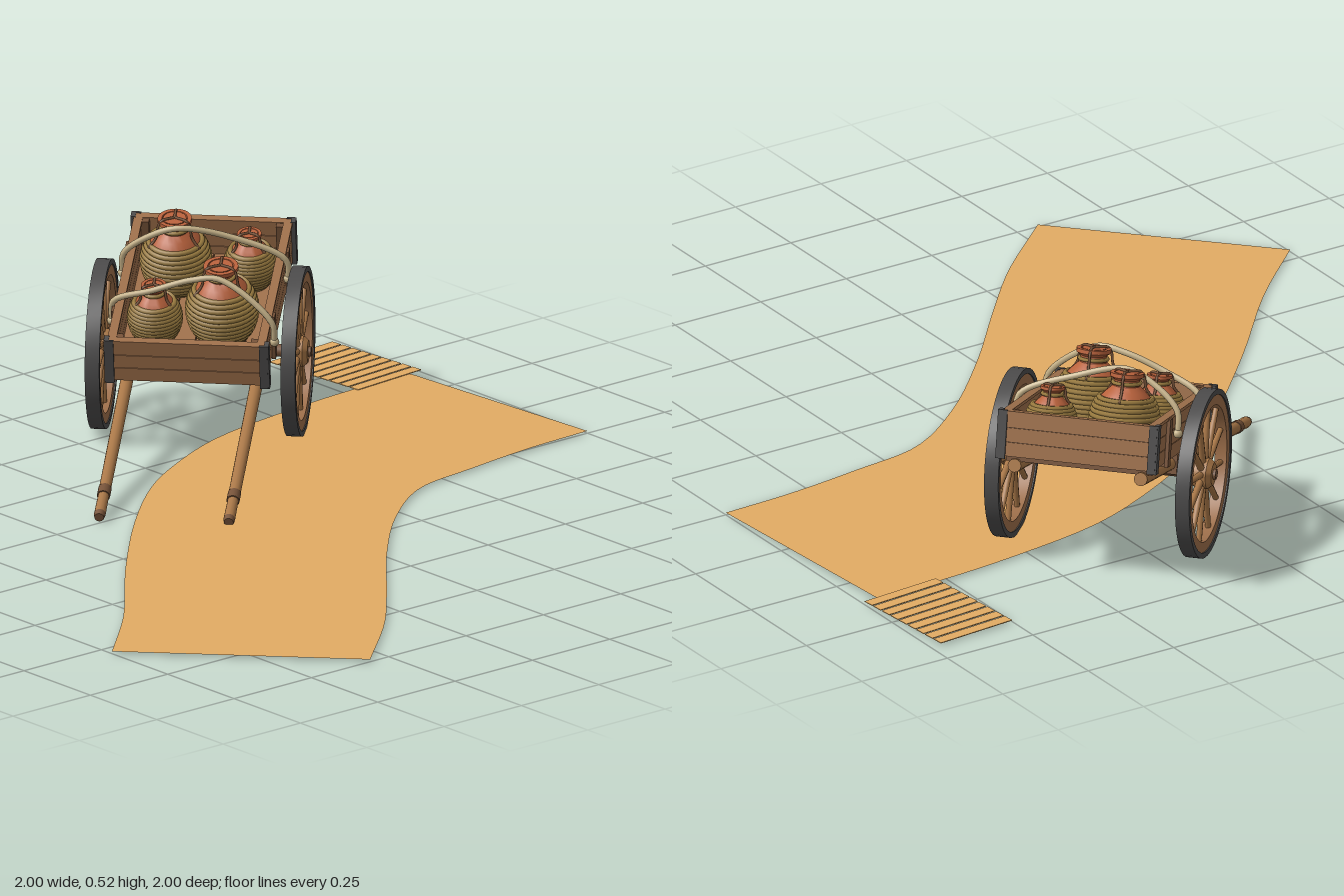
import * as THREE from 'three';
import { toCreasedNormals } from 'three/addons/utils/BufferGeometryUtils.js';

const mat = (name, color, side = THREE.FrontSide) => {
  const m = new THREE.MeshStandardMaterial({ color, side });
  m.name = name;
  return m;
};

export function createModel() {
  const wood = mat('wood', 0x9f704b);
  const darkWood = mat('dark wood', 0x775339);
  const poleWood = mat('pole wood', 0xaa7848);
  const iron = mat('iron', 0x4d4c4c);
  const seam = mat('seam', 0x3d2e22);
  const clay = mat('terracotta', 0xb9623c);
  const wicker = mat('wicker', 0x9b7c40);
  const rope = mat('rope', 0xc8b48a);
  const sand = mat('sand', 0xe3ac64, THREE.DoubleSide);

  const root = new THREE.Group();
  const V = (x, y, z) => new THREE.Vector3(x, y, z);
  const add = (parent, name, geo, m, x = 0, y = 0, z = 0) => {
    const mesh = new THREE.Mesh(geo, m);
    mesh.name = name;
    mesh.position.set(x, y, z);
    parent.add(mesh);
    return mesh;
  };
  const group = (parent, name) => {
    const g = new THREE.Group();
    g.name = name;
    parent.add(g);
    return g;
  };
  const box = (parent, name, m, w, h, d, x, y, z) =>
    add(parent, name, new THREE.BoxGeometry(w, h, d), m, x, y, z);
  const lathe = (pts, n = 24) =>
    toCreasedNormals(new THREE.LatheGeometry(pts.map(p => new THREE.Vector2(...p)), n), 0.6);
  const hoop = (rIn, rOut, w, n = 48) => lathe(
    [[rIn, -w / 2], [rOut, -w / 2], [rOut, w / 2], [rIn, w / 2], [rIn, -w / 2]], n);
  const bar = (parent, name, m, a, b, r1, r2 = r1, n = 12) => {
    const mesh = add(parent, name, new THREE.CylinderGeometry(r2, r1, a.distanceTo(b), n), m);
    mesh.position.copy(a).add(b).multiplyScalar(0.5);
    mesh.quaternion.setFromUnitVectors(V(0, 1, 0), b.clone().sub(a).normalize());
  };
  const tube = (parent, name, m, pts, r) => add(parent, name,
    new THREE.TubeGeometry(new THREE.CatmullRomCurve3(pts.map(p => V(...p))), 40, r, 7), m);

  // Flat winding road, outlined by two smooth edges
  const edge = pts => new THREE.CatmullRomCurve3(pts.map(([x, z]) => V(x, 0, z))).getPoints(36);
  const left = edge([[-0.62, -0.96], [-0.62, -0.78], [-0.6, -0.55], [-0.55, -0.27], [-0.46, -0.06],
    [-0.37, 0.09], [-0.19, 0.3], [0.085, 0.567], [0.35, 0.8], [0.54, 1]]);
  const right = edge([[0, -1], [0.01, -0.8], [0.037, -0.59], [0.07, -0.4], [0.2, -0.21],
    [0.41, 0], [0.62, 0.18], [0.81, 0.35], [1, 0.56]]);
  const outline = new THREE.Shape([...left, ...right.reverse()].map(p => new THREE.Vector2(p.x, -p.z)));
  add(root, 'road', new THREE.ShapeGeometry(outline).rotateX(-Math.PI / 2), sand, 0, 0.003, 0);

  // Slatted mat at the head of the road
  const slats = group(root, 'slattedMat');
  slats.position.set(-0.768, 0.004, -0.876);
  slats.rotation.y = 0.08;
  for (let i = 0; i < 9; i++)
    box(slats, 'slat', sand, 0.0295, 0.002, 0.22, (i - 4) * 0.0347, 0, 0);

  // Cart: wheels stay level, the body tips forward about the axle
  const cart = group(root, 'cart');
  cart.position.set(-0.64, 0.21, -0.297);
  cart.rotation.y = THREE.MathUtils.degToRad(42.5);
  const body = group(cart, 'cartBody');
  body.rotation.x = THREE.MathUtils.degToRad(14);

  // Wheels, built around the y axis and then turned onto the axle
  const axleLine = s => V(s * 0.24, 0, 0);
  bar(cart, 'axle', darkWood, axleLine(-1), axleLine(1), 0.016);
  for (const s of [-1, 1]) {
    const wheel = group(cart, s > 0 ? 'leftWheel' : 'rightWheel');
    wheel.position.x = s * 0.242;
    wheel.rotation.z = -s * Math.PI / 2;
    add(wheel, 'tyre', hoop(0.196, 0.21, 0.036), iron);
    add(wheel, 'rim', hoop(0.17, 0.197, 0.03), wood);
    for (let i = 0; i < 12; i++) {
      const a = (i + 0.5) * Math.PI / 6, c = Math.cos(a), d = Math.sin(a);
      bar(wheel, 'spoke', poleWood, V(c * 0.025, 0, d * 0.025), V(c * 0.175, 0, d * 0.175), 0.0095, 0.007, 8);
    }
    add(wheel, 'hub', lathe([[0, -0.03], [0.03, -0.03], [0.038, -0.014], [0.038, 0.014],
      [0.028, 0.026], [0, 0.026]]), poleWood);
    add(wheel, 'axleEnd', new THREE.CylinderGeometry(0.013, 0.013, 0.01, 12), darkWood, 0, 0.028, 0);
  }

  // Floor boards, joists and axle block
  const Z0 = -0.335, Z1 = 0.252, ZM = (Z0 + Z1) / 2, L = Z1 - Z0;
  for (let i = 0; i < 6; i++)
    box(body, 'floorBoard', wood, 0.059, 0.014, L - 0.02, (i - 2.5) * 0.0615, 0.063, ZM);
  box(body, 'floorSeams', seam, 0.36, 0.008, L - 0.03, 0, 0.06, ZM);
  for (const z of [-0.29, -0.16, 0.08, 0.21]) box(body, 'joist', darkWood, 0.37, 0.016, 0.028, 0, 0.048, z);
  box(body, 'axleBlock', darkWood, 0.36, 0.05, 0.05, 0, 0.018, 0);

  // Three planks per wall with dark seams
  for (let i = 0; i < 3; i++) {
    const y = 0.074 + i * 0.0365;
    for (const s of [-1, 1])
      box(body, 'sidePlank', wood, 0.016, 0.035, L - 0.01, s * 0.185, y, ZM);
    for (const z of [Z0 + 0.008, Z1 - 0.008])
      box(body, 'endPlank', wood, 0.366, 0.035, 0.016, 0, y, z);
  }
  for (const s of [-1, 1]) {
    box(body, 'sideSeam', seam, 0.01, 0.1, L - 0.02, s * 0.185, 0.11, ZM);
    box(body, 'sideCap', wood, 0.022, 0.008, L, s * 0.185, 0.166, ZM);
    for (const z of [-0.2, 0.1]) box(body, 'sideStay', darkWood, 0.01, 0.12, 0.025, s * 0.197, 0.106, z);
  }
  for (const z of [Z0 + 0.008, Z1 - 0.008]) {
    const out = Math.sign(z);
    box(body, 'endSeam', seam, 0.36, 0.1, 0.01, 0, 0.11, z);
    box(body, 'endCap', wood, 0.38, 0.008, 0.022, 0, 0.166, z);
    for (const s of [-1, 1]) {
      box(body, 'cornerIron', iron, 0.012, 0.122, 0.024, s * 0.198, 0.111, z);
      box(body, 'cornerIron', iron, 0.02, 0.122, 0.006, s * 0.19, 0.111, z + out * 0.01);
      box(body, 'innerPost', darkWood, 0.022, 0.11, 0.022, s * 0.168, 0.113, z - out * 0.018);
    }
  }

  // Shafts running under the bed to the ground
  for (const s of [-1, 1]) {
    const at = t => V(s * 0.16, 0.031 - 0.047 * t, Z0 + 0.02 + 1.083 * t);
    bar(body, 'shaft', poleWood, at(0), at(0.9), 0.017, 0.015);
    bar(body, 'shaftBand', darkWood, at(0.885), at(0.915), 0.0165);
    bar(body, 'shaftGrip', poleWood, at(0.9), at(0.985), 0.0135, 0.0145);
    bar(body, 'shaftTip', darkWood, at(0.985), at(1), 0.0145, 0.012);
  }

  // Clay jars in coiled wicker, sized by radius r and height h
  const jar = (x, z, r, h) => {
    const g = group(body, 'jar');
    g.position.set(x, 0.07, z);
    const prof = [[0, 0], [0.6, 0], [0.82, 0.14], [0.94, 0.34], [0.93, 0.48], [0.8, 0.64], [0.55, 0.76],
      [0.38, 0.83], [0.36, 0.91], [0.48, 0.95], [0.48, 1], [0.36, 1], [0.33, 0.95], [0, 0.95]];
    add(g, 'jarBody', lathe(prof.map(([a, b]) => [a * r, b * h])), clay);
    const wall = new THREE.CatmullRomCurve3(prof.slice(1, 8).map(([a, b]) => V(a * r, b * h, 0)));
    const n = 13;
    for (let i = 0; i < n; i++) {
      const p = wall.getPointAt(0.02 + 0.74 * i / (n - 1));
      add(g, 'wickerCoil', new THREE.TorusGeometry(p.x, 0.0068, 6, 28).rotateX(Math.PI / 2), wicker, 0, p.y, 0);
    }
    // Three cords from the basket up over the stopper
    for (let i = 0; i < 3; i++) {
      const a = i * Math.PI / 1.5 + 0.5, c = Math.cos(a) * r, d = Math.sin(a) * r;
      tube(g, 'jarCord', darkWood, [[0.82 * c, 0.66 * h, 0.82 * d], [0.58 * c, 0.79 * h, 0.58 * d],
        [0.5 * c, 0.95 * h, 0.5 * d], [0.38 * c, 1.01 * h, 0.38 * d], [0, 1.01 * h, 0]], 0.0035);
    }
    add(g, 'neckCord', new THREE.TorusGeometry(r * 0.39, 0.005, 6, 20).rotateX(Math.PI / 2), wicker, 0, h * 0.87, 0);
    add(g, 'stopper', new THREE.CylinderGeometry(r * 0.33, r * 0.31, h * 0.06, 16), clay, 0, h * 0.97, 0);
  };
  jar(0.105, -0.192, 0.063, 0.145);
  jar(-0.075, -0.17, 0.088, 0.195);
  jar(0.065, 0.05, 0.09, 0.202);
  jar(-0.1, 0.068, 0.066, 0.15);

  // Ropes lashed over the load and tied to the side rails
  tube(body, 'lashing', rope, [[-0.205, 0.12, -0.14], [-0.2, 0.176, -0.14], [-0.13, 0.237, -0.13],
    [-0.06, 0.264, -0.125], [0.06, 0.237, -0.14], [0.2, 0.176, -0.14], [0.205, 0.12, -0.14]], 0.008);
  tube(body, 'lashing', rope, [[-0.205, 0.12, 0.08], [-0.2, 0.176, 0.08], [-0.1, 0.224, 0.1],
    [0, 0.259, 0.1], [0.07, 0.266, 0.105], [0.2, 0.176, 0.15], [0.205, 0.12, 0.15]], 0.008);
  for (const [s, z] of [[-1, -0.14], [1, -0.14], [-1, 0.08], [1, 0.15]])
    add(body, 'ropeKnot', new THREE.SphereGeometry(0.012, 10, 8), rope, s * 0.205, 0.12, z);

  return root;
}
